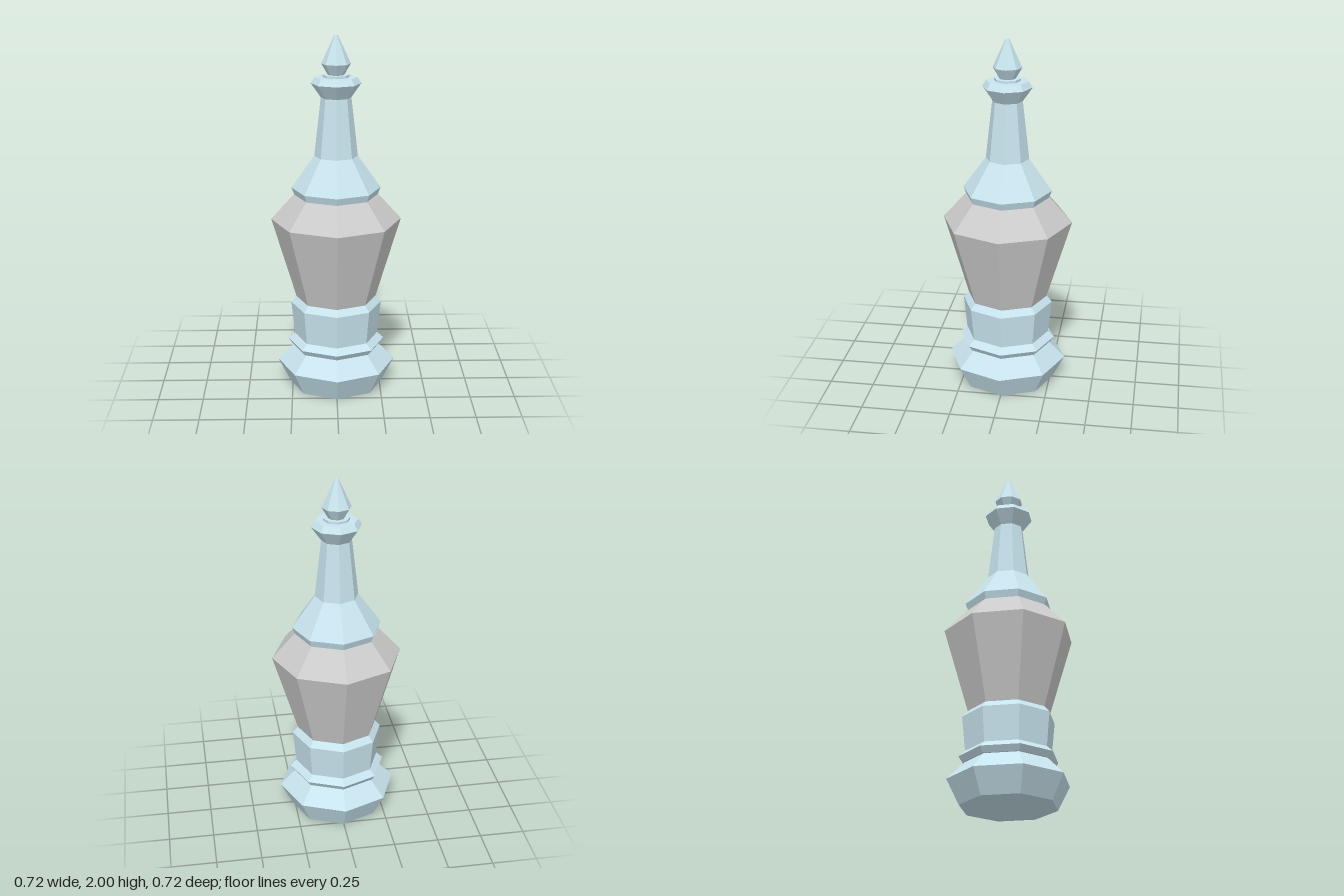
import * as THREE from 'three';

const blue = new THREE.MeshStandardMaterial({ color: 0xc8e4ee, flatShading: true });
const grey = new THREE.MeshStandardMaterial({ color: 0xcccccc, flatShading: true });

// Closed eight-sided turned part from [radius, height] pairs, bottom to top
function turned(name, material, profile) {
  const closed = [[0, profile[0][1]], ...profile, [0, profile[profile.length - 1][1]]];
  const points = closed.map(([r, y]) => new THREE.Vector2(r, y));
  const mesh = new THREE.Mesh(new THREE.LatheGeometry(points, 8), material);
  mesh.name = name;
  return mesh;
}

export function createModel() {
  const group = new THREE.Group();
  group.name = 'chessPiece';
  group.add(
    // Foot and pedestal
    turned('foot', blue, [[0.265, 0], [0.333, 0.135], [0.24, 0.23]]),
    turned('footRing', blue, [[0.25, 0.23], [0.272, 0.262], [0.236, 0.295]]),
    turned('pedestal', blue, [[0.236, 0.295], [0.255, 0.485], [0.225, 0.52]]),
    // Flared body
    turned('body', grey, [[0.225, 0.52], [0.362, 0.98], [0.235, 1.12]]),
    // Shoulder tapering into the neck
    turned('shoulder', blue, [[0.232, 1.12], [0.247, 1.16], [0.12, 1.34]]),
    turned('neck', blue, [[0.12, 1.34], [0.083, 1.665]]),
    // Collar and pointed finial
    turned('collar', blue, [[0.083, 1.665], [0.137, 1.742], [0.115, 1.775]]),
    turned('finialRing', blue, [[0.072, 1.775], [0.072, 1.788]]),
    turned('finial', blue, [[0.045, 1.788], [0.08, 1.848], [0.01, 2]]),
  );
  return group;
}
